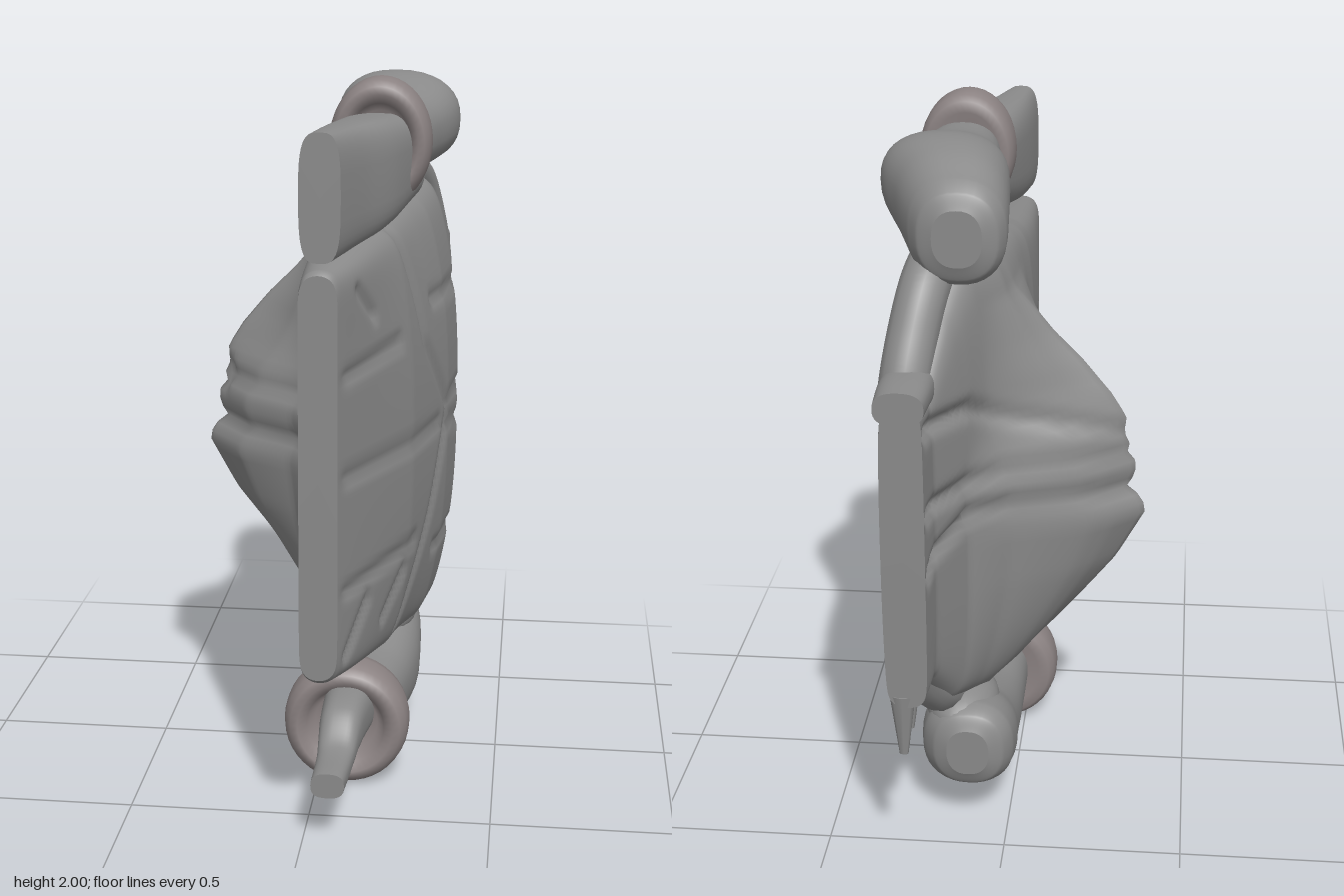
import * as THREE from 'three';

const grey = new THREE.MeshStandardMaterial({ color: 0x8a8a8a, side: THREE.DoubleSide });
const reddish = new THREE.MeshStandardMaterial({ color: 0x8c8383, side: THREE.DoubleSide });
const { smoothstep, clamp } = THREE.MathUtils;

// Piecewise linear lookup; the keys of the table ascend
function lookup(table, v) {
  if (v <= table[0][0]) return table[0][1];
  for (let i = 1; i < table.length; i++) {
    const [a, p] = table[i - 1], [b, q] = table[i];
    if (v <= b) return p + (q - p) * (v - a) / (b - a);
  }
  return table[table.length - 1][1];
}

// Skin over counter-clockwise rings ordered from +z to -z, with flat caps
function loft(rings) {
  const n = rings[0].length, pos = [], index = [];
  rings.forEach(r => r.forEach(p => pos.push(...p)));
  for (let i = 0; i < rings.length - 1; i++) {
    for (let j = 0; j < n; j++) {
      const a = i * n + j, b = i * n + (j + 1) % n, c = a + n, d = b + n;
      index.push(a, c, b, b, c, d);
    }
  }
  [rings[0], rings[rings.length - 1]].forEach((ring, end) => {
    const start = pos.length / 3;
    const mid = [0, 1, 2].map(k => ring.reduce((s, p) => s + p[k], 0) / n);
    pos.push(...mid);
    ring.forEach(p => pos.push(...p));
    for (let j = 0; j < n; j++) {
      const a = start + 1 + j, b = start + 1 + (j + 1) % n;
      if (end) index.push(start, b, a); else index.push(start, a, b);
    }
  });
  const g = new THREE.BufferGeometry();
  g.setAttribute('position', new THREE.Float32BufferAttribute(pos, 3));
  g.setIndex(index);
  g.computeVertexNormals();
  return g;
}

// Tube along z from stations [z, cx, cy, rx, ry], smoothed between stations
function limb(stations, squareness = 1) {
  const centre = new THREE.CatmullRomCurve3(stations.map(s => new THREE.Vector3(s[1], s[2], s[0])));
  const radius = new THREE.CatmullRomCurve3(stations.map(s => new THREE.Vector3(s[3], s[4], 0)));
  const rings = [], steps = (stations.length - 1) * 8;
  const pow = v => Math.sign(v) * Math.abs(v) ** squareness;
  for (let i = 0; i <= steps; i++) {
    const c = centre.getPoint(i / steps), r = radius.getPoint(i / steps);
    rings.push(Array.from({ length: 36 }, (_, j) => {
      const a = j / 36 * Math.PI * 2;
      return [c.x + r.x * pow(Math.cos(a)), c.y + r.y * pow(Math.sin(a)), c.z];
    }));
  }
  return loft(rings);
}

// Main panel outline and thickness, keyed by z
const topEdge = [[-0.7, 1.42], [-0.56, 1.4], [-0.45, 1.56], [-0.33, 1.67], [-0.2, 1.69], [0.1, 1.66], [0.3, 1.62], [0.69, 1.57], [0.7, 1.56]];
const bottomEdge = [[-0.7, 0.56], [-0.55, 0.56], [-0.42, 0.42], [-0.25, 0.35], [0, 0.37], [0.3, 0.41], [0.69, 0.48], [0.7, 0.49]];
const outerX = [[-0.7, 0.295], [-0.45, 0.335], [-0.17, 0.36], [0, 0.342], [0.3, 0.265], [0.7, 0.1]];
const innerX = [[-0.7, 0.18], [-0.57, 0.17], [-0.4, 0.09], [-0.2, 0.01], [0.2, -0.03], [0.45, -0.02], [0.7, 0]];
// Hump on the inner side: depth by height, spread by z
const humpDepth = [[0.4, 0.02], [0.55, 0.14], [0.75, 0.295], [0.9, 0.378], [0.97, 0.345], [1.06, 0.345], [1.16, 0.33],
  [1.25, 0.275], [1.34, 0.2], [1.42, 0.12], [1.55, 0.02], [1.65, 0]];
const humpSpread = [[-0.42, 0], [-0.33, 0.2], [-0.24, 0.66], [-0.125, 1], [0.02, 0.66], [0.13, 0.2], [0.22, 0]];

// Creases as segments [z0, y0, z1, y1]
const outerCreases = [
  [0.28, 1.62, 0.18, 1.28], [0.18, 1.28, 0, 1.05], [0, 1.05, 0.12, 0.78], [0.12, 0.78, 0.28, 0.48],
  [0.7, 1.03, 0.08, 1.02], [0.7, 1.29, 0.36, 1.32], [0.7, 0.72, 0.25, 0.73],
  [0.1, 1.38, -0.7, 1.37], [0, 1.06, -0.7, 1.1], [0, 1, -0.7, 0.9], [0.05, 0.64, -0.45, 0.65],
  [0.65, 0.54, 0.53, 0.66], [0.42, 0.56, 0.31, 0.67], [0.58, 1.5, 0.5, 1.42]];
const innerCreases = [
  [-0.7, 1.33, -0.4, 1.3], [-0.4, 1.3, -0.1, 1.12], [-0.7, 1.1, -0.1, 1.08], [-0.7, 0.92, -0.4, 1], [-0.4, 1, -0.1, 0.97],
  [0.2, 1.1, -0.1, 1.1], [0.2, 0.97, -0.1, 0.97], [0.7, 1.3, 0.3, 1.25], [0.7, 0.72, 0.3, 0.76]];

function groove(creases, z, y, depth, width) {
  let nearest = Infinity;
  for (const [z0, y0, z1, y1] of creases) {
    const dz = z1 - z0, dy = y1 - y0;
    const t = clamp(((z - z0) * dz + (y - y0) * dy) / (dz * dz + dy * dy), 0, 1);
    nearest = Math.min(nearest, Math.hypot(z - z0 - t * dz, y - y0 - t * dy));
  }
  return depth * Math.exp(-((nearest / width) ** 2)) * smoothstep(0.7 - Math.abs(z), 0, 0.06);
}

function bodyGeometry() {
  const rows = 80, rings = [];
  for (let i = 0; i <= 120; i++) {
    const z = 0.7 - 1.4 * i / 120;
    const top = lookup(topEdge, z), bottom = lookup(bottomEdge, z);
    const out = lookup(outerX, z), inn = lookup(innerX, z);
    // bulge across the panel, flat again at both end edges
    const curve = smoothstep(0.7 - z, 0, 0.6) * (1 - 0.9 * smoothstep(-z, 0.3, 0.65));
    const point = (j, outside) => {
      const t = Math.sin((j / rows - 0.5) * Math.PI);
      const y = (top + bottom) / 2 + t * (top - bottom) / 2;
      const rim = Math.sqrt(Math.max(0, 1 - Math.abs(t) ** 24));
      const low = inn + 0.04 * t ** 4 * curve, high = out - 0.085 * Math.abs(t) ** 2.6 * curve;
      const middle = (low + high) / 2;
      // upper hump narrows into a fin
      const sharp = 1 + 1.3 * smoothstep(y, 1.05, 1.3);
      const x = outside
        ? high - groove(outerCreases, z, y, 0.014, 0.017)
        : low - lookup(humpDepth, y) * lookup(humpSpread, z) ** sharp + groove(innerCreases, z, y, 0.025, 0.022);
      return [middle + (x - middle) * rim, y, z];
    };
    const ring = [];
    for (let j = 0; j < rows; j++) ring.push(point(j, true));
    for (let j = rows; j > 0; j--) ring.push(point(j, false));
    rings.push(ring);
  }
  return loft(rings);
}

export function createModel() {
  const model = new THREE.Group();
  const add = (name, geometry, x = 0, y = 0, z = 0, material = grey) => {
    const mesh = new THREE.Mesh(geometry, material);
    mesh.name = name;
    mesh.position.set(x, y, z);
    model.add(mesh);
    return mesh;
  };
  const tube = (name, points, r) => add(name, new THREE.TubeGeometry(
    new THREE.CatmullRomCurve3(points.map(p => new THREE.Vector3(...p))), 30, r, 14));
  // Rounded ring, turned about z, dished towards its middle
  const cuff = (name, x, y, rx, ry) => {
    const profile = [[0, 0.02], [0.5, 0.025], [0.62, 0.06], [0.76, 0.078], [0.88, 0.072], [0.97, 0.05], [1, 0.02],
      [1, -0.02], [0.97, -0.05], [0.88, -0.068], [0.7, -0.07], [0, -0.05]];
    const geometry = new THREE.LatheGeometry(profile.map(([r, h]) => new THREE.Vector2(r, h)).reverse(), 40);
    geometry.rotateX(Math.PI / 2);
    add(name, geometry, x, y, 0.243, reddish).scale.set(rx, ry, 1);
  };

  add('body', bodyGeometry());

  // Upper limb: flat sleeve, cuff, thick arm with a blunt end
  add('upperSleeve', limb([[0.7, 0.055, 1.75, 0.052, 0.16], [0.55, 0.085, 1.755, 0.075, 0.155],
    [0.4, 0.125, 1.765, 0.1, 0.145], [0.2, 0.165, 1.785, 0.115, 0.12]], 0.6));
  cuff('upperCuff', 0.165, 1.83, 0.135, 0.17);
  add('upperArm', limb([[0.2, 0.17, 1.82, 0.1, 0.1], [0.05, 0.18, 1.825, 0.13, 0.105], [-0.15, 0.183, 1.845, 0.172, 0.13],
    [-0.28, 0.15, 1.815, 0.15, 0.145], [-0.38, 0.125, 1.775, 0.128, 0.14], [-0.42, 0.12, 1.77, 0.105, 0.115],
    [-0.437, 0.12, 1.77, 0.065, 0.075]], 0.85));

  // Lower limb: thin bar, dished cuff, thick arm
  add('lowerBar', limb([[0.67, 0.07, 0.175, 0.045, 0.035], [0.52, 0.075, 0.18, 0.05, 0.038],
    [0.42, 0.08, 0.22, 0.06, 0.07], [0.22, 0.09, 0.22, 0.075, 0.085]], 0.75));
  cuff('lowerCuff', 0.08, 0.18, 0.178, 0.18);
  add('lowerArm', limb([[0.2, 0.1, 0.18, 0.11, 0.11], [0, 0.115, 0.175, 0.125, 0.12], [-0.15, 0.125, 0.185, 0.135, 0.145],
    [-0.26, 0.12, 0.225, 0.138, 0.145], [-0.36, 0.115, 0.25, 0.13, 0.135], [-0.41, 0.11, 0.255, 0.1, 0.11],
    [-0.43, 0.11, 0.255, 0.06, 0.07]], 0.85));
  const joint = add('lowerJoint', new THREE.SphereGeometry(0.11, 24, 16), 0.14, 0.33, -0.26);
  joint.scale.set(0.95, 0.75, 1.45);

  // Straps following the slanted corners
  tube('upperStrap', [[0.18, 1.7, -0.24], [0.21, 1.63, -0.38], [0.235, 1.51, -0.465], [0.25, 1.4, -0.52], [0.255, 1.33, -0.525]], 0.068);
  tube('lowerStrap', [[0.17, 0.36, -0.24], [0.2, 0.43, -0.37], [0.235, 0.53, -0.46], [0.25, 0.62, -0.505], [0.255, 0.7, -0.515]], 0.065);
  add('upperPeg', limb([[-0.5, 0.24, 1.4, 0.07, 0.06], [-0.6, 0.24, 1.41, 0.07, 0.05], [-0.7, 0.24, 1.41, 0.065, 0.045]], 0.8));

  // Ragged tatters below the back corner
  [[-0.57, 0.5, 0.16], [-0.62, 0.53, 0.1], [-0.685, 0.5, 0.18]].forEach(([z, y, h]) => {
    const tatter = add('tatter', new THREE.CylinderGeometry(0.035, 0.012, h, 8), 0.25, y, z);
    tatter.scale.z = 0.6;
  });
  return model;
}
